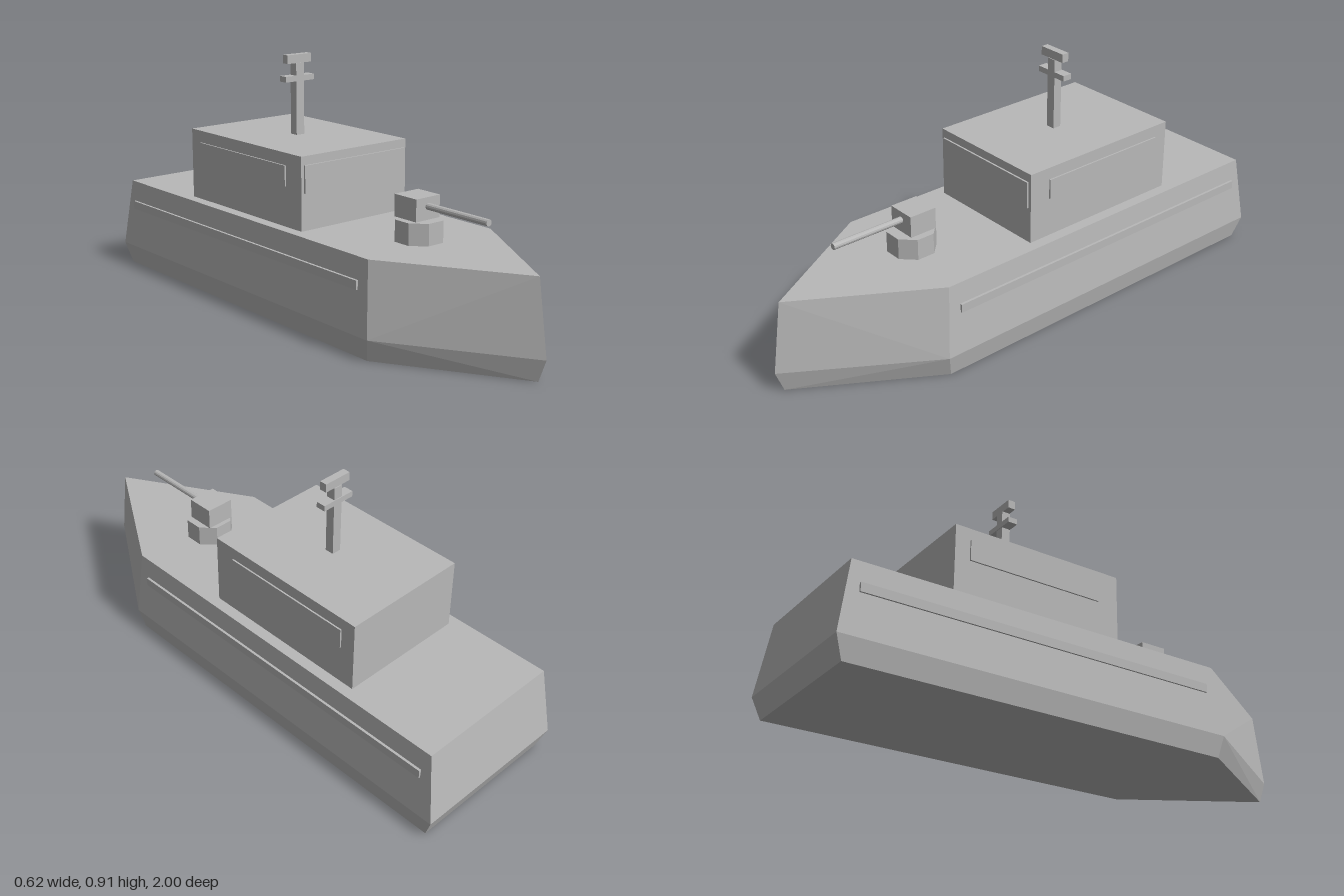
import * as THREE from 'three';

export function createModel() {
  const ship = new THREE.Group();
  ship.name = 'patrolShip';
  const grey = new THREE.MeshStandardMaterial({ color: 0xb8b8b8 });
  grey.name = 'hullGrey';
  grey.flatShading = true;

  const add = (name, geometry, parent = ship) => {
    const mesh = new THREE.Mesh(geometry, grey);
    mesh.name = name;
    parent.add(mesh);
    return mesh;
  };
  // Box given by its limits along each axis
  const box = (name, x0, x1, y0, y1, z0, z1, parent) => {
    const g = new THREE.BoxGeometry(x1 - x0, y1 - y0, z1 - z0);
    g.translate((x0 + x1) / 2, (y0 + y1) / 2, (z0 + z1) / 2);
    return add(name, g, parent);
  };

  // Hull: three five-sided rings, from keel plate through chine to deck
  const ring = (y, w, bow, shoulder, stern) => [
    [0, y, bow], [w, y, shoulder], [w, y, stern], [-w, y, stern], [-w, y, shoulder],
  ];
  const rings = [
    ring(0, 0.293, 0.97, 0.49, -0.97),
    ring(0.08, 0.31, 1, 0.507, -1),
    ring(0.345, 0.287, 0.96, 0.485, -0.96),
  ];
  const pos = [];
  const tri = (...points) => points.forEach((p) => pos.push(...p));
  for (let tier = 0; tier < 2; tier++) {
    for (let i = 0; i < 5; i++) {
      const j = (i + 1) % 5;
      const a = rings[tier][i], b = rings[tier][j];
      const c = rings[tier + 1][j], d = rings[tier + 1][i];
      // Bow panels fold towards the shoulder on the chine
      if ((tier === 1) !== (i === 4)) { tri(a, b, d); tri(b, c, d); }
      else { tri(a, b, c); tri(a, c, d); }
    }
  }
  const [keel, , deck] = rings;
  for (let i = 1; i < 4; i++) {
    tri(deck[0], deck[i], deck[i + 1]);
    tri(keel[0], keel[i + 1], keel[i]);
  }
  const hull = new THREE.BufferGeometry();
  hull.setAttribute('position', new THREE.Float32BufferAttribute(pos, 3));
  hull.computeVertexNormals();
  add('hull', hull);

  // Cabin with front and side windows
  box('cabin', -0.245, 0.245, 0.345, 0.612, -0.577, 0.09);
  box('frontWindow', -0.233, 0.233, 0.48, 0.58, 0.088, 0.097);
  for (const [side, s] of [['left', 1], ['right', -1]]) {
    const xs = (a, b) => [s * a, s * b].sort((p, q) => p - q);
    box(side + 'Window', ...xs(0.243, 0.251), 0.492, 0.567, -0.52, 0.005);
    // Rubbing strake along the hull side
    box(side + 'Strake', ...xs(0.285, 0.303), 0.235, 0.267, -0.93, 0.445);
  }

  // Mast with crossbar and radar
  const mast = new THREE.Group();
  mast.name = 'mast';
  ship.add(mast);
  box('mastPole', -0.018, 0.018, 0.612, 0.88, -0.254, -0.22, mast);
  box('crossbar', -0.066, 0.066, 0.813, 0.834, -0.257, -0.22, mast);
  box('radar', -0.055, 0.055, 0.88, 0.912, -0.251, -0.223, mast);

  // Deck gun on an octagonal base
  const gun = new THREE.Group();
  gun.name = 'deckGun';
  ship.add(gun);
  const base = new THREE.CylinderGeometry(0.0885, 0.0885, 0.078, 8);
  base.rotateY(Math.PI / 8).translate(0, 0.384, 0.423);
  add('gunBase', base, gun);
  box('gunHouse', -0.055, 0.055, 0.423, 0.502, 0.358, 0.464, gun);
  const barrel = new THREE.CylinderGeometry(0.012, 0.012, 0.29, 12);
  barrel.rotateX(Math.PI / 2).translate(0, 0.47, 0.597);
  add('gunBarrel', barrel, gun);

  return ship;
}
